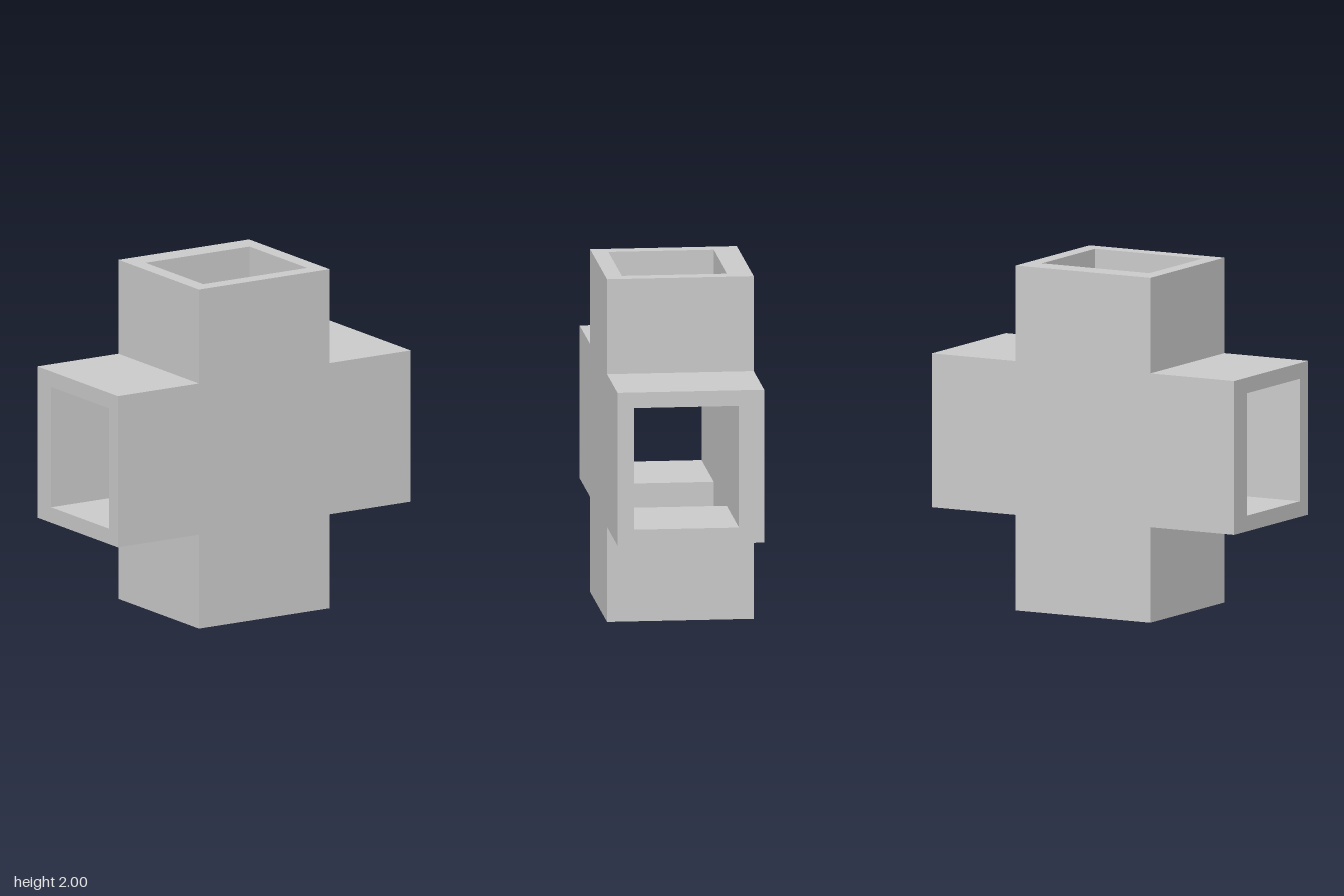
import * as THREE from 'three';

const OUT = 0.446, IN = 0.355;          // outer and inner half width of the arms
const FRONT = 0.423, BACK = -0.423;     // outer faces
const IN_FRONT = 0.328, IN_BACK = -0.278; // faces of the hollow

const material = new THREE.MeshStandardMaterial({ color: 0xcccccc, flatShading: true });

function add(parent, name, geometry) {
  const mesh = new THREE.Mesh(geometry, material);
  mesh.name = name;
  parent.add(mesh);
  return mesh;
}

// Plus-shaped panel of half width w, facing +z (dir 1) or -z (dir -1)
function crossPanel(w, z, dir) {
  const shape = new THREE.Shape([
    [1, -w], [1, w], [w, w], [w, 1], [-w, 1], [-w, w],
    [-1, w], [-1, -w], [-w, -w], [-w, -1], [w, -1], [w, -w],
  ].map(([x, y]) => new THREE.Vector2(x, y)));
  const geometry = new THREE.ShapeGeometry(shape);
  if (dir < 0) geometry.rotateY(Math.PI);
  return geometry.translate(0, 0, z);
}

// Horizontal wall along an arm from x = w to 1, facing +y (dir 1) or -y (dir -1)
function armWall(w, y, z0, z1, dir) {
  return new THREE.PlaneGeometry(1 - w, z1 - z0)
    .rotateX(-dir * Math.PI / 2)
    .translate((1 + w) / 2, y, (z0 + z1) / 2);
}

// Closed rectangle in the (-z, y) plane of an arm's open end
function rectangle(path, z0, z1, h) {
  path.moveTo(-z1, -h);
  path.lineTo(-z0, -h);
  path.lineTo(-z0, h);
  path.lineTo(-z1, h);
  path.closePath();
  return path;
}

function createArm(name) {
  const arm = new THREE.Group();
  arm.name = name;
  for (const side of [1, -1]) {
    add(arm, 'outerWall', armWall(OUT, side * OUT, BACK, FRONT, side));
    add(arm, 'innerWall', armWall(IN, side * IN, IN_BACK, IN_FRONT, -side));
  }
  // Flat frame around the opening
  const frame = rectangle(new THREE.Shape(), BACK, FRONT, OUT);
  frame.holes.push(rectangle(new THREE.Path(), IN_BACK, IN_FRONT, IN));
  add(arm, 'endRim', new THREE.ShapeGeometry(frame).rotateY(Math.PI / 2).translate(1, 0, 0));
  return arm;
}

export function createModel() {
  const model = new THREE.Group();
  model.name = 'hollowCrossConnector';

  const body = new THREE.Group();
  body.name = 'body';
  body.position.y = 1;
  model.add(body);

  // Front and back plates, outside and inside
  add(body, 'frontFace', crossPanel(OUT, FRONT, 1));
  add(body, 'backFace', crossPanel(OUT, BACK, -1));
  add(body, 'innerFrontFace', crossPanel(IN, IN_FRONT, -1));
  add(body, 'innerBackFace', crossPanel(IN, IN_BACK, 1));

  // Four open arms around the centre
  ['leftArm', 'topArm', 'rightArm', 'bottomArm'].forEach((name, i) => {
    const arm = createArm(name);
    arm.rotation.z = i * Math.PI / 2;
    body.add(arm);
  });
  return model;
}
